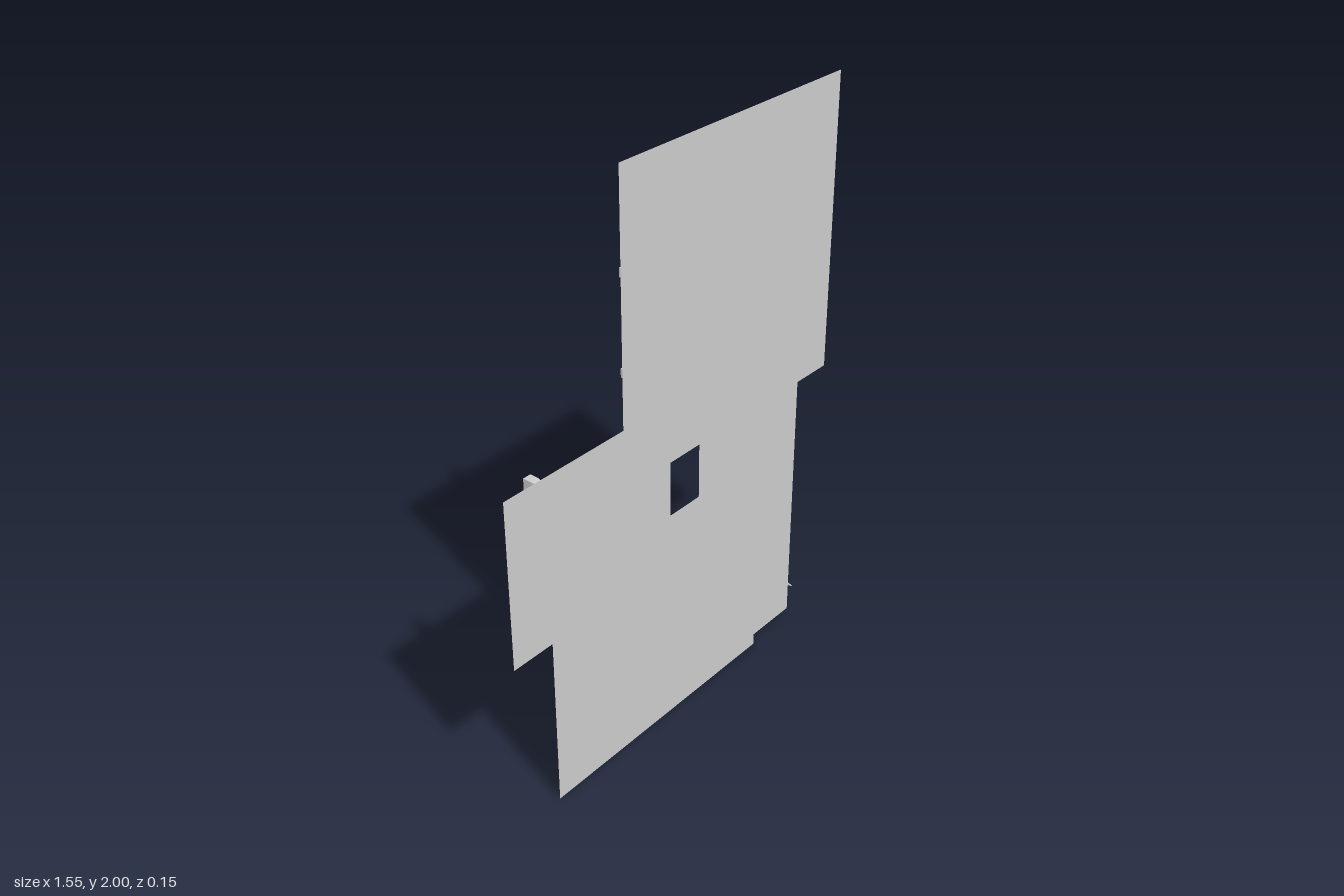
import * as THREE from 'three';

const W = 0.03;                 // bar thickness
const BAR_Z = -0.0585;          // centre of the lattice
const material = new THREE.MeshStandardMaterial({ color: 0xcccccc, side: THREE.DoubleSide, flatShading: true });

function add(group, name, geometry, x, y, z) {
  const mesh = new THREE.Mesh(geometry, material);
  mesh.name = name;
  mesh.position.set(x, y, z);
  group.add(mesh);
}

// Box between two corner points of the lattice, wide enough to fill the joints
function addBar(group, name, x0, y0, x1, y1) {
  const geometry = new THREE.BoxGeometry(Math.abs(x1 - x0) + W, Math.abs(y1 - y0) + W, W);
  add(group, name, geometry, (x0 + x1) / 2, (y0 + y1) / 2, BAR_Z);
}

export function createModel() {
  const model = new THREE.Group();
  model.name = 'panelWall';

  // Overlapping flat panels: x0, x1, y0, y1, z
  const panels = [
    ['upperPanel', -0.275, 0.775, 0.96, 2.0, 0.048],
    ['sidePanel', -0.775, -0.06, 0.59, 1.175, 0.05],
    ['tallPanel', 0.07, 0.6, 0.025, 1.57, 0.06],
    ['lowerPanel', -0.635, 0.38, 0, 0.79, 0.073],
  ];
  for (const [name, x0, x1, y0, y1, z] of panels) {
    add(model, name, new THREE.PlaneGeometry(x1 - x0, y1 - y0), (x0 + x1) / 2, (y0 + y1) / 2, z);
  }

  // Small plate fixed close to the lattice
  add(model, 'backPlate', new THREE.BoxGeometry(0.55, 0.165, 0.006), 0.365, 0.186, -0.04);

  // Upright bars: x, bottom, top
  const uprights = [
    [0.65, 0.09, 1.6], [0.335, 0.09, 1.6], [0.05, 1.27, 1.908],
    [-0.13, 0.09, 0.88], [-0.395, 0.09, 0.88], [-0.56, 0.88, 1.09],
  ];
  for (const [x, y0, y1] of uprights) addBar(model, 'uprightBar', x, y0, x, y1);

  // Cross bars: y, left end, right end
  const crossBars = [
    [1.6, -0.13, 0.65], [1.27, -0.13, 0.65], [0.88, -0.56, -0.13],
    [0.6, -0.395, 0.335], [0.325, -0.395, 0.65],
  ];
  for (const [y, x0, x1] of crossBars) addBar(model, 'crossBar', x0, y, x1, y);

  // Four-sided spikes pointing from the lattice to the panels
  const length = 0.092;
  const spike = new THREE.ConeGeometry(W * Math.SQRT1_2, length, 4);
  spike.rotateY(Math.PI / 4).rotateX(Math.PI / 2);
  const spikes = [
    [0.65, 1.6], [-0.13, 1.6], [0.335, 1.27], [-0.13, 1.27], [0.05, 1.908],
    [-0.56, 1.09], [-0.395, 0.88], [0.335, 0.6], [-0.395, 0.6], [-0.13, 0.325],
    [0.65, 0.09], [0.335, 0.09], [-0.13, 0.09], [-0.395, 0.09],
  ];
  for (const [x, y] of spikes) add(model, 'spike', spike, x, y, BAR_Z + W / 2 + length / 2);

  return model;
}
